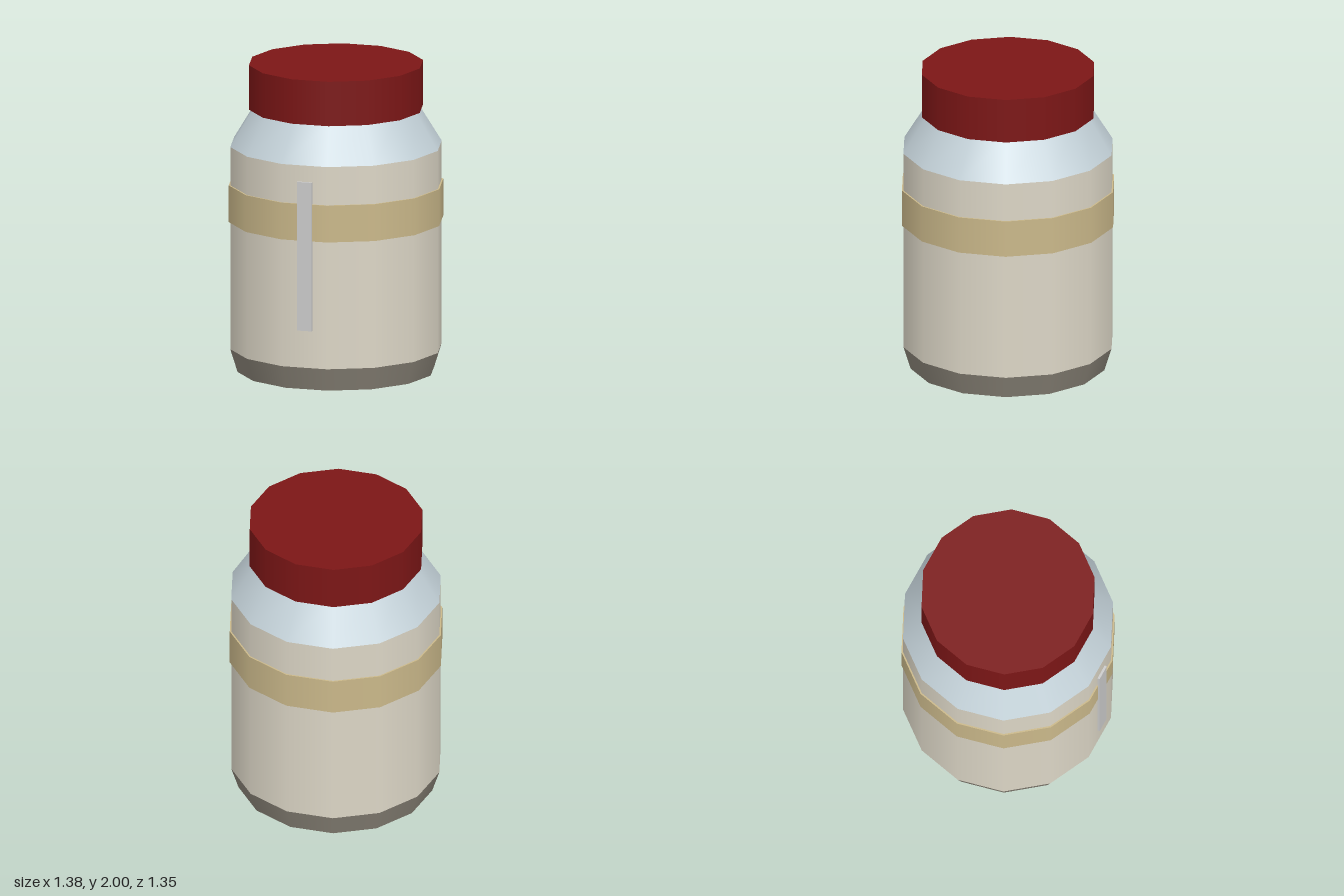
import * as THREE from 'three';

const SIDES = 14;

// Smooth-sided ring section between two heights, with corners on the x axis
function section(name, color, rBottom, rTop, y0, y1, open = false) {
  const geo = new THREE.CylinderGeometry(rTop, rBottom, y1 - y0, SIDES, 1, open, Math.PI / 2);
  geo.translate(0, (y0 + y1) / 2, 0);
  const mesh = new THREE.Mesh(geo, new THREE.MeshStandardMaterial({ color }));
  mesh.name = name;
  return mesh;
}

// Flat disc closing the bottom
function disc(name, color, r, y) {
  const geo = new THREE.CircleGeometry(r, SIDES).rotateX(Math.PI / 2).translate(0, y, 0);
  const mesh = new THREE.Mesh(geo, new THREE.MeshStandardMaterial({ color }));
  mesh.name = name;
  return mesh;
}

export function createModel() {
  const jar = new THREE.Group();
  jar.name = 'jar';

  // Jar body, from the bottom up
  jar.add(
    disc('bottom', 0x8a8478, 0.633, 0),
    section('base', 0x8a8478, 0.633, 0.68, 0, 0.15, true),
    section('body', 0xdcd6c6, 0.68, 0.68, 0.15, 1.47, true),
    section('shoulder', 0xc4d2d9, 0.68, 0.53, 1.47, 1.715, true),
  );

  // Band around the body and the lid
  jar.add(
    section('band', 0xcab88a, 0.69, 0.69, 0.98, 1.22),
    section('lid', 0x7c1616, 0.56, 0.56, 1.71, 2),
  );

  // Upright strip lying on one facet at the front
  const strip = new THREE.Mesh(
    new THREE.BoxGeometry(0.098, 0.97, 0.015),
    new THREE.MeshStandardMaterial({ color: 0xcccccc }),
  );
  strip.name = 'strip';
  strip.position.set(0.299, 0.88, 0.607);
  strip.rotation.y = 0.46;
  jar.add(strip);

  return jar;
}
